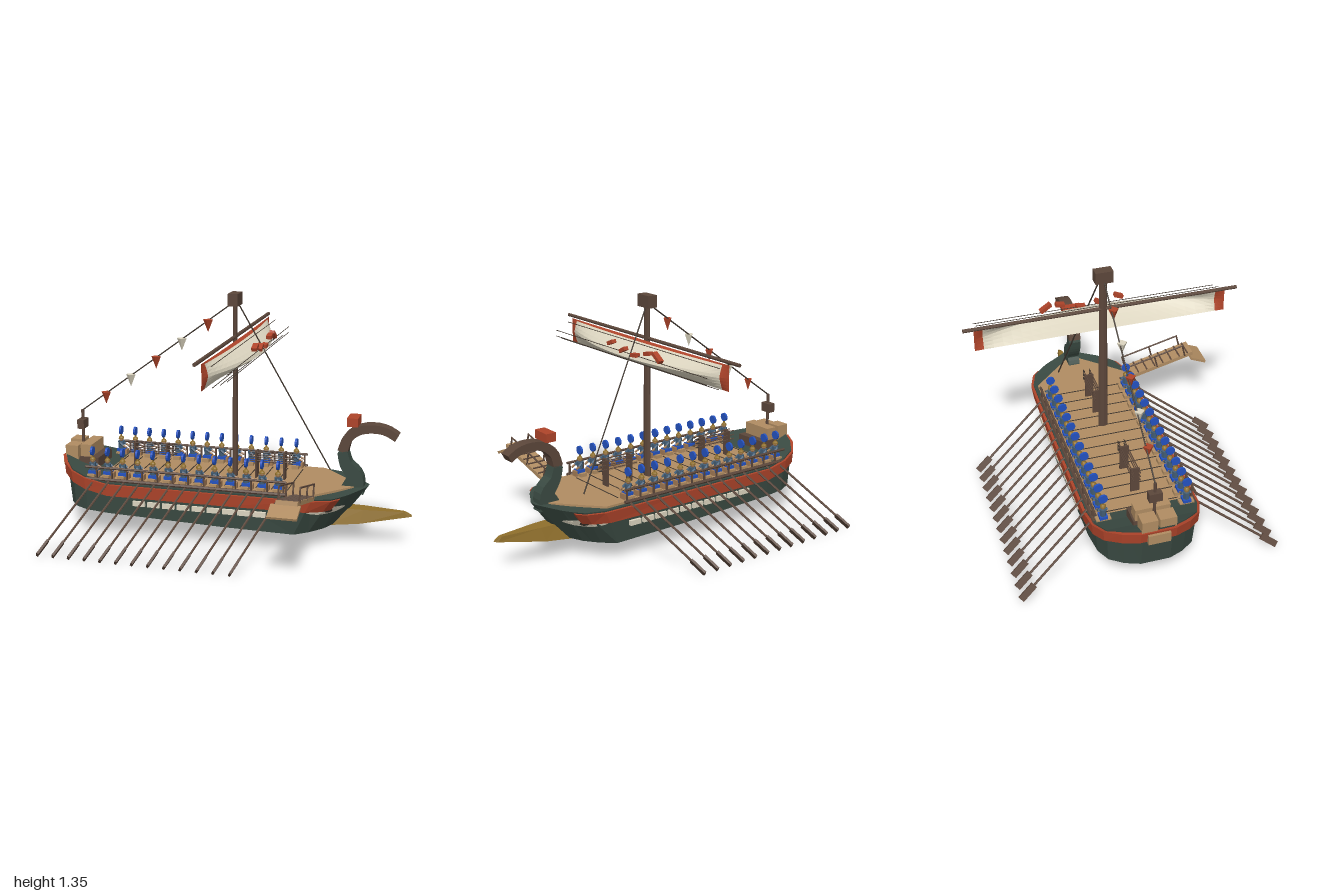
import * as THREE from 'three';

const mat = (name, color, double) => {
  const m = new THREE.MeshStandardMaterial({ color });
  m.name = name;
  m.flatShading = true;
  if (double) m.side = THREE.DoubleSide;
  return m;
};

export function createModel() {
  const M = {
    hull: mat('dark green hull', 0x3a4a42),
    red: mat('painted red', 0xae442a, true),
    white: mat('canvas', 0xdcd5c0, true),
    tan: mat('light timber', 0xb08c62),
    brown: mat('dark timber', 0x5c473b),
    bronze: mat('bronze', 0x8f6f2c),
    blue: mat('blue crest', 0x2452c0),
    rope: mat('rope', 0x3f362e, true),
    tunic: mat('tunic', 0x456078),
    skin: mat('skin', 0xa27a55),
  };
  const root = new THREE.Group();
  root.name = 'galley';
  const V = (x, y, z) => new THREE.Vector3(x, y, z);
  const add = (name, geo, m, p = [0, 0, 0], parent = root) => {
    const mesh = new THREE.Mesh(geo, m);
    mesh.name = name;
    mesh.position.set(...p);
    parent.add(mesh);
    return mesh;
  };
  const box = (name, m, x0, x1, y0, y1, z0, z1, parent) =>
    add(name, new THREE.BoxGeometry(x1 - x0, y1 - y0, z1 - z0), m, [(x0 + x1) / 2, (y0 + y1) / 2, (z0 + z1) / 2], parent);
  const beam = (name, m, a, b, r, sides = 6, parent = root) => {
    const d = b.clone().sub(a);
    const mesh = add(name, new THREE.CylinderGeometry(r, r, d.length(), sides), m, a.clone().add(b).multiplyScalar(0.5).toArray(), parent);
    mesh.quaternion.setFromUnitVectors(V(0, 1, 0), d.normalize());
    return mesh;
  };
  // Closed solid through a row of convex rings, turned outward by its signed volume
  const loft = rings => {
    const tris = [], n = rings[0].length;
    for (let i = 0; i + 1 < rings.length; i++) for (let j = 0; j < n; j++) {
      const k = (j + 1) % n, [a, b, c, d] = [rings[i][j], rings[i][k], rings[i + 1][k], rings[i + 1][j]];
      tris.push([a, b, c], [a, c, d]);
    }
    const first = rings[0], last = rings[rings.length - 1];
    for (let j = 1; j + 1 < n; j++) tris.push([first[0], first[j + 1], first[j]], [last[0], last[j], last[j + 1]]);
    const volume = tris.reduce((s, [a, b, c]) => s + a.dot(b.clone().cross(c)), 0);
    const pts = tris.flatMap(t => (volume < 0 ? [t[0], t[2], t[1]] : t));
    const g = new THREE.BufferGeometry().setFromPoints(pts);
    g.computeVertexNormals();
    return g;
  };

  // Hull stations: top x, y, half width, then bottom x, y, half width
  const stations = [
    [-0.975, 0.4, 0.08, -0.945, 0.145, 0.08], [-0.93, 0.385, 0.17, -0.91, 0.14, 0.16],
    [-0.87, 0.36, 0.245, -0.86, 0.14, 0.23], [-0.78, 0.335, 0.28, -0.78, 0.135, 0.265],
    [-0.65, 0.31, 0.29, -0.65, 0.13, 0.278], [0, 0.31, 0.29, 0, 0.11, 0.278],
    [0.5, 0.31, 0.285, 0.4, 0.097, 0.26], [0.6, 0.31, 0.25, 0.47, 0.1, 0.21],
    [0.64, 0.312, 0.21, 0.505, 0.102, 0.175], [0.68, 0.315, 0.16, 0.54, 0.105, 0.14],
    [0.73, 0.32, 0.07, 0.58, 0.11, 0.07], [0.76, 0.325, 0.02, 0.6, 0.115, 0.03]];
  const at = (s, y) => {
    const t = (y - s[4]) / (s[1] - s[4]);
    return [s[3] + (s[0] - s[3]) * t, s[5] + (s[2] - s[5]) * t];
  };
  const sideZ = (x, y) => {
    for (let i = 0; i + 1 < stations.length; i++) {
      const [xa, za] = at(stations[i], y), [xb, zb] = at(stations[i + 1], y);
      if (x <= xb) return za + (zb - za) * (x - xa) / (xb - xa);
    }
    return 0.02;
  };
  add('hull', loft(stations.map(([a, b, c, d, e, f]) => [V(a, b, c), V(d, e, f), V(d, e, -f), V(a, b, -c)])), M.hull);

  // Red wale running from one bow around the stern to the other
  const wale = (s, side) => {
    const y1 = s[1] - 0.008, y0 = s[1] - 0.073, [x, z] = at(s, y0), e = s[0] < -0.9 ? 0.012 : 0;
    return [V(s[0] - e, y1, side * (s[2] + 0.015)), V(x - e, y0, side * (z + 0.016)),
      V(x + e, y0, side * (z - 0.01)), V(s[0] + e, y1, side * (s[2] - 0.01))];
  };
  const aft = stations.slice(0, 9);
  add('wale', loft([...aft.slice().reverse().map(s => wale(s, 1)), ...aft.map(s => wale(s, -1))]), M.red);

  // Deck with pointed foredeck
  const deckShape = new THREE.Shape([[-0.78, -0.265], [0.47, -0.265], [0.56, -0.17], [0.7, -0.015],
    [0.7, 0.015], [0.56, 0.17], [0.47, 0.265], [-0.78, 0.265]].map(p => new THREE.Vector2(...p)));
  const deck = new THREE.ExtrudeGeometry(deckShape, { depth: 0.02, bevelEnabled: false });
  add('deck', deck.rotateX(-Math.PI / 2), M.tan, [0, 0.302, 0]);
  for (let i = 0; i < 13; i++) {
    const x = -0.7 + i * 0.0875;
    box('deckSeam', M.rope, x - 0.002, x + 0.002, 0.32, 0.325, -0.2, 0.2);
  }

  // Curved prow post with a red block, and the ram
  const post = list => {
    const curve = new THREE.CatmullRomCurve3(list.map(([x, y]) => V(x, y, 0)));
    const n = 12, rings = [];
    for (let i = 0; i <= n; i++) {
      const t = i / n, p = curve.getPoint(t), d = curve.getTangent(t);
      const f = t * (list.length - 1), k = Math.min(Math.floor(f), list.length - 2);
      const r = list[k][2] + (list[k + 1][2] - list[k][2]) * (f - k);
      rings.push([[1, 1], [1, -1], [-1, -1], [-1, 1]].map(([a, b]) => V(p.x - d.y * r * a, p.y + d.x * r * a, 0.034 * b)));
    }
    return loft(rings);
  };
  add('prowBase', post([[0.67, 0.29, 0.065], [0.685, 0.37, 0.045], [0.635, 0.44, 0.032], [0.615, 0.51, 0.028]]), M.hull);
  add('prowCurl', post([[0.615, 0.51, 0.028], [0.64, 0.585, 0.026], [0.7, 0.635, 0.024], [0.78, 0.65, 0.023],
    [0.85, 0.64, 0.022], [0.908, 0.608, 0.021]]), M.brown);
  box('prowBlock', M.red, 0.64, 0.7, 0.66, 0.708, -0.055, 0.055);
  const ramRing = (x0, y0, w0, x1, y1, w1) => [V(x0, y0, w0), V(x1, y1, w1), V(x1, y1, -w1), V(x0, y0, -w0)];
  add('ram', loft([ramRing(0.55, 0.102, 0.075, 0.63, 0.195, 0.045), ramRing(0.72, 0.12, 0.06, 0.74, 0.195, 0.04),
    ramRing(0.98, 0.165, 0.012, 0.96, 0.192, 0.012), ramRing(1, 0.168, 0.003, 0.995, 0.178, 0.003)]), M.bronze);

  // Mast, yard, stays
  const mast = add('mast', new THREE.CylinderGeometry(0.012, 0.016, 1, 8), M.brown, [0.006, 0.8, 0]);
  mast.scale.z = 1.75;
  box('mastHead', M.brown, -0.023, 0.032, 1.282, 1.35, -0.049, 0.049);
  beam('yard', M.brown, V(0.006, 1.11, -0.76), V(0.006, 1.11, 0.76), 0.01, 8);
  beam('forestay', M.rope, V(0.015, 1.3, -0.01), V(0.52, 0.36, -0.125), 0.004);
  beam('backstay', M.rope, V(0, 1.3, 0), V(-0.9, 0.637, 0), 0.004);
  for (let i = 0; i < 5; i++) {
    const x = -0.145 - i * 0.151;
    const flag = add('pennant', new THREE.ConeGeometry(0.028, 0.07, 4), i % 2 ? M.white : M.red, [x, 1.3 + x * 0.733 - 0.03, 0.012]);
    flag.rotation.x = Math.PI;
  }

  // Billowing sail: straight along head and foot, fullest in the middle
  const sailX = (y, z) => 0.022 + 0.142 * (1 - (z / 0.705) ** 2) * (1 - Math.abs((y - 1.033) / 0.07) ** 1.4);
  const sail = (name, m, z0, z1, y0, y1) => {
    const g = new THREE.PlaneGeometry(z1 - z0, y1 - y0, z1 - z0 > 0.5 ? 24 : 3, 8), p = g.attributes.position;
    for (let i = 0; i < p.count; i++) {
      const z = -p.getX(i) + (z0 + z1) / 2, y = p.getY(i) + (y0 + y1) / 2;
      p.setXYZ(i, sailX(y, z), y, z);
    }
    g.computeVertexNormals();
    add(name, g, m);
  };
  sail('sail', M.white, -0.65, 0.65, 0.964, 1.093);
  sail('sailHead', M.red, -0.65, 0.65, 1.093, 1.101);
  for (const s of [-1, 1]) sail('sailEdge', M.red, s * 0.675 - 0.025, s * 0.675 + 0.025, 0.964, 1.101);
  for (const y of [0.98, 0.998, 1.016, 1.05, 1.088])
    beam('batten', M.rope, V(sailX(y, 0) + 0.005, y, -0.68), V(sailX(y, 0) + 0.005, y, 0.68), 0.002, 5);
  for (const [z, y, a] of [[0.13, 1.083, 0.4], [0.02, 1.062, 0.5], [-0.085, 1.052, 0.1], [-0.2, 1.083, 0.2], [-0.28, 1.077, -0.6]])
    add('sailPatch', new THREE.BoxGeometry(0.03, 0.02, z < -0.25 ? 0.07 : 0.05), M.red, [0.15, y, z]).rotation.x = a;

  // Stern post and crates
  beam('sternPost', M.brown, V(-0.9, 0.37, 0), V(-0.9, 0.64, 0), 0.009);
  box('sternLamp', M.brown, -0.922, -0.882, 0.533, 0.585, -0.035, 0.035);
  box('crate', M.tan, -0.98, -0.905, 0.37, 0.46, -0.09, -0.005);
  box('crate', M.tan, -0.97, -0.895, 0.37, 0.45, 0.01, 0.1);
  box('crate', M.tan, -1, -0.935, 0.322, 0.38, -0.06, 0.06);
  box('crate', M.tan, -0.88, -0.815, 0.34, 0.46, -0.095, 0.095);
  box('crateStand', M.brown, -0.885, -0.77, 0.33, 0.39, -0.105, 0.105);

  const crew = (x, s) => {
    const g = new THREE.Group();
    g.name = 'rower';
    g.position.set(x, 0.32, s * 0.228);
    root.add(g);
    box('bench', M.tan, -0.02, 0.02, 0, 0.022, -0.04, 0.04, g);
    box('kilt', M.blue, -0.02, 0.028, 0.02, 0.038, -0.022, 0.022, g);
    box('legs', M.skin, 0.028, 0.04, 0.004, 0.034, -0.018, 0.018, g);
    add('torso', new THREE.CylinderGeometry(0.02, 0.016, 0.055, 6), M.tunic, [0, 0.055, 0], g);
    for (const a of [-1, 1]) {
      beam('sleeve', M.tunic, V(0, 0.075, a * 0.02), V(0.02, 0.06, a * 0.022), 0.008, 5, g);
      beam('arm', M.skin, V(0.02, 0.06, a * 0.022), V(0.04, 0.05, a * 0.022), 0.006, 5, g);
    }
    add('head', new THREE.SphereGeometry(0.014, 8, 6), M.skin, [0, 0.094, 0], g);
    add('helmet', new THREE.SphereGeometry(0.017, 8, 4, 0, Math.PI * 2, 0, Math.PI / 2), M.bronze, [0, 0.097, 0], g);
    add('crest', new THREE.CylinderGeometry(0.025, 0.025, 0.012, 14).rotateZ(Math.PI / 2), M.blue, [0, 0.148, 0], g);
    box('crestStem', M.bronze, -0.004, 0.004, 0.11, 0.13, -0.004, 0.004, g);
  };

  // Each side: oars, crew, railing, pale strips and eye
  for (const s of [-1, 1]) {
    for (let i = 0; i < 13; i++) {
      const x = -0.755 + i * 0.0883;
      crew(x, s);
      const a = V(x + 0.03, 0.325, s * 0.265), b = V(x - 0.135, 0.02, s * 0.705);
      beam('oar', M.brown, a, b, 0.0065);
      const blade = new THREE.Group();
      blade.name = 'oarBlade';
      // Blade is broad toward the side and thin along the ship
      const d = b.clone().sub(a).normalize(), w = V(0, 0, 1).addScaledVector(d, -d.z).normalize();
      blade.quaternion.setFromRotationMatrix(new THREE.Matrix4().makeBasis(w, d, w.clone().cross(d)));
      blade.position.copy(b).addScaledVector(d, -0.045);
      root.add(blade);
      add('blade', new THREE.BoxGeometry(0.036, 0.1, 0.013), M.brown, [0, 0, 0], blade);
      box('railPost', M.brown, x + 0.036, x + 0.044, 0.3, 0.39, s * 0.272 - 0.005, s * 0.272 + 0.005);
    }
    for (const [y, r] of [[0.39, 0.007], [0.322, 0.01]])
      beam('rail', M.brown, V(-0.78, y, s * 0.276), V(0.36, y, s * 0.276), r);
    for (let i = 0; i < 10; i++) {
      const x = -0.5 + i * 0.0853;
      box('paleStrip', M.white, x, x + 0.07, 0.19, 0.218, s * 0.288 - 0.009, s * 0.288 + 0.009);
    }
    const eye = (name, m, cx, rx, ry, lift) => {
      const g = new THREE.RingGeometry(0.001, 1, 20, 6), p = g.attributes.position;
      for (let i = 0; i < p.count; i++) {
        const x = cx + p.getX(i) * rx, y = 0.237 + p.getY(i) * ry;
        p.setXYZ(i, x, y, s * (sideZ(x, y) + lift));
      }
      g.computeVertexNormals();
      add(name, g, m);
    };
    eye('eye', M.white, 0.56, 0.092, 0.022, 0.006);
    eye('pupil', M.rope, 0.58, 0.018, 0.015, 0.01);
  }

  // Spear racks along the middle of the deck
  for (const [x0, x1] of [[-0.62, -0.35], [0.09, 0.33]]) {
    for (const y of [0.42, 0.445, 0.47]) for (const z of [-0.018, 0.018]) {
      beam('spear', M.brown, V(x0, y, z), V(x1, y, z), 0.003, 5);
      add('spearTip', new THREE.ConeGeometry(0.007, 0.03, 4).rotateZ(-Math.PI / 2), M.rope, [x1 + 0.012, y, z]);
    }
    for (const x of [x0 + 0.04, x1 - 0.04]) box('rackFrame', M.brown, x - 0.005, x + 0.005, 0.32, 0.475, -0.025, 0.025);
  }

  // Gangplank with cleats, handrails and a sloping foot
  const plank = new THREE.Group();
  plank.name = 'gangplank';
  plank.position.set(0.455, 0.312, 0.265);
  plank.rotation.x = -0.25;
  root.add(plank);
  box('planks', M.tan, -0.057, 0.057, -0.012, 0.01, 0, 0.43, plank);
  for (let i = 0; i < 8; i++) box('cleat', M.brown, -0.055, 0.055, 0.01, 0.015, 0.025 + i * 0.053, 0.033 + i * 0.053, plank);
  for (const x of [-0.055, 0.055]) {
    beam('handrail', M.brown, V(x, 0.078, 0.02), V(x, 0.078, 0.385), 0.005, 6, plank);
    for (const z of [0.025, 0.2, 0.38]) beam('handrailPost', M.brown, V(x, 0, z), V(x, 0.078, z), 0.005, 6, plank);
  }
  add('gangplankFoot', new THREE.BoxGeometry(0.155, 0.014, 0.1), M.tan, [0.447, 0.378, 0.71]).rotation.x = 0.4;
  return root;
}
